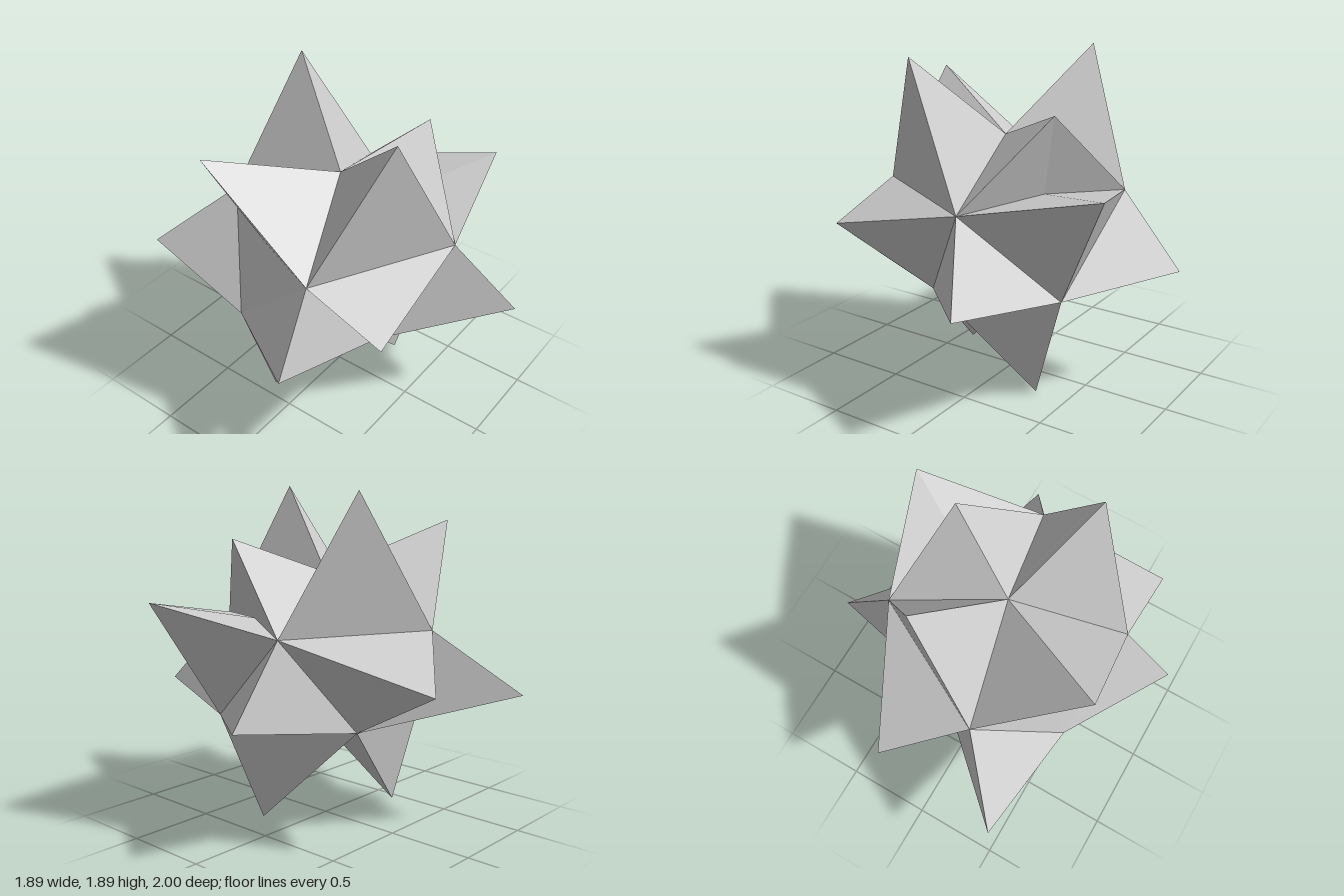
import * as THREE from 'three';

// Corners of the core solid: a crown, an upper ring, a lower ring and two side ridges
const CORE = {
  top: [-0.03, 1.42, 0.03],
  u1: [0.11, 1.14, 0.69], u2: [-0.65, 1.14, 0.28], u3: [0.6, 1.14, -0.21], u4: [-0.17, 1.14, -0.62],
  w1: [0.52, 0.64, 0.33], w2: [-0.24, 0.59, 0.45], w3: [-0.58, 0.64, -0.26], w4: [0.17, 0.59, -0.38],
  r1: [0.345, 1.18, 0.225], r3: [-0.43, 1.095, -0.19],
};

// Each core face with the tip of the spike raised on it (no tip: the face stays flat)
const SPIKES = [
  ['upperFrontSpike', 'top u1 u2', [-0.28, 1.89, 0.55]],
  ['upperBackSpike', 'top u4 u3', [0.25, 1.89, -0.45]],
  ['upperRightSpike', 'top u2 r3 u4', [-0.71, 1.7, -0.33]],
  ['upperLeftSpike', 'top u3 r1 u1', [0.44, 1.62, 0.29]],
  ['leftSpike', 'w1 u1 r1 u3', [0.85, 1.29, 0.51]],
  ['frontLeftSpike', 'w1 u1 w2', [0.3, 0.72, 1]],
  ['backLeftSpike', 'w1 u3 w4', [0.94, 0.72, -0.23]],
  ['frontRightSpike', 'w3 u2 w2', [-0.95, 0.74, 0.33]],
  ['backRightSpike', 'w3 u4 w4', [-0.5, 0.78, -1]],
  ['frontSpike', 'u1 u2 w2', [-0.66, 0.98, 0.75]],
  ['backSpike', 'u3 u4 w4', [0.24, 0.89, -0.94]],
  ['leftFoot', 'w1 w2 w4', [0.3, 0, 0.22]],
  ['rightFoot', 'w3 w2 w4', [-0.42, 0.01, -0.17]],
  ['rightPanel', 'w3 u2 r3 u4', null],
];

const CENTRE = new THREE.Vector3(-0.03, 0.85, 0.035);
const toVec = (p) => new THREE.Vector3(...p);

// Fan of triangles over a core face, wound so that it faces away from the centre
function spikeGeometry(names, tip) {
  const loop = names.split(' ').map((n) => toVec(CORE[n]));
  const n = loop.length;
  const normal = loop[1].clone().sub(loop[0]).cross(loop[n - 1].clone().sub(loop[0]));
  if (normal.dot(loop[0].clone().sub(CENTRE)) < 0) loop.reverse();

  const points = [];
  if (tip) {
    const apex = toVec(tip);
    loop.forEach((p, i) => points.push(p, loop[(i + 1) % n], apex));
  } else {
    // reversing moves the first corner to the end, so fan from the lowest corner
    const s = loop.reduce((best, p, i) => (p.y < loop[best].y ? i : best), 0);
    for (let i = 1; i < n - 1; i++) points.push(loop[s], loop[(s + i) % n], loop[(s + i + 1) % n]);
  }
  const geometry = new THREE.BufferGeometry().setFromPoints(points);
  geometry.computeVertexNormals();
  return geometry;
}

export function createModel() {
  const model = new THREE.Group();
  model.name = 'spikedStar';
  const material = new THREE.MeshStandardMaterial({ color: 0xcccccc, flatShading: true });
  for (const [name, face, tip] of SPIKES) {
    const mesh = new THREE.Mesh(spikeGeometry(face, tip), material);
    mesh.name = name;
    model.add(mesh);
  }
  return model;
}
